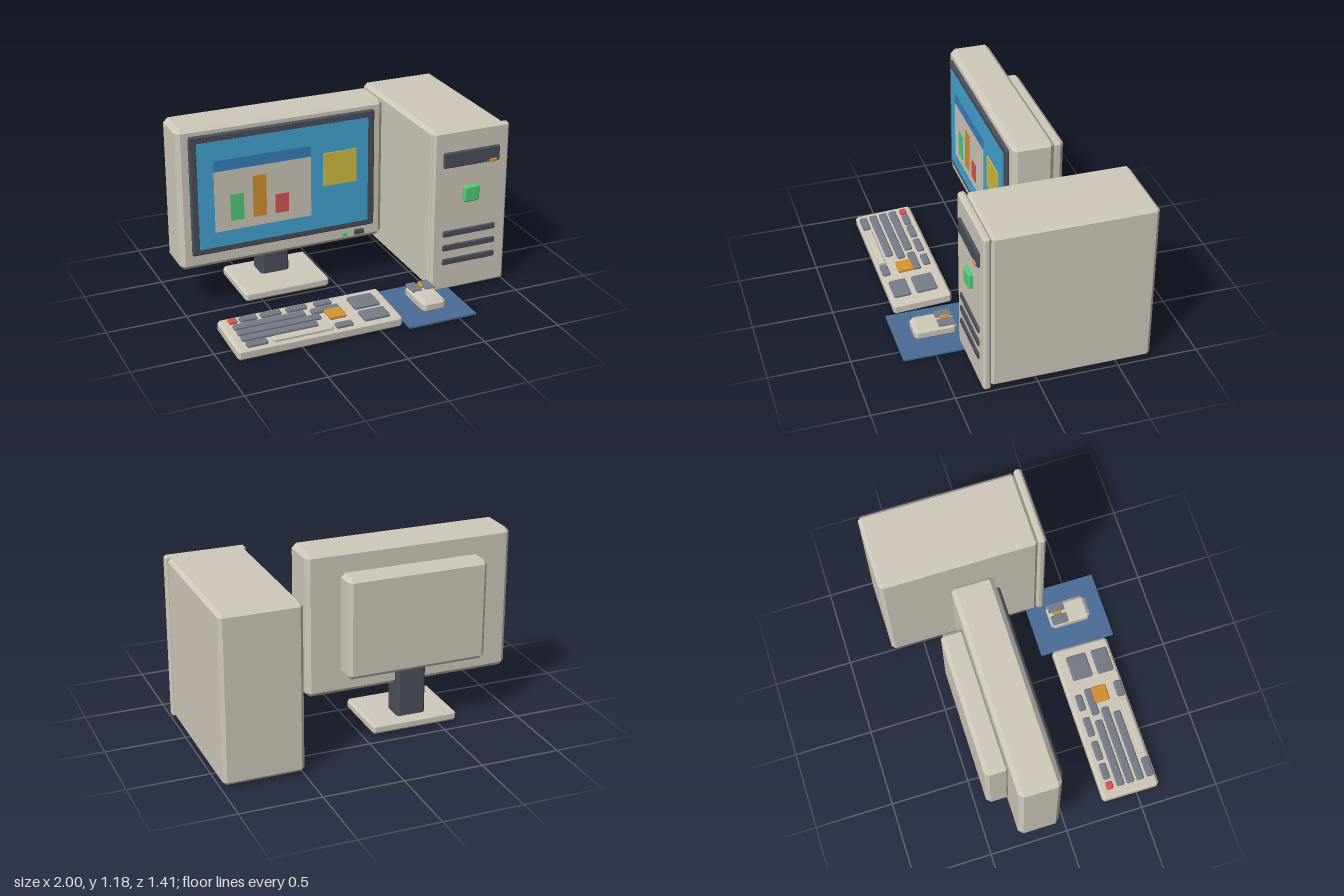
import * as THREE from 'three';
import { ConvexGeometry } from 'three/addons/geometries/ConvexGeometry.js';

const mat = (name, color) => {
  const m = new THREE.MeshStandardMaterial({ color });
  m.name = name;
  return m;
};

// Box with flat chamfered edges, centred on the origin.
function chamferBox(w, h, d, c) {
  const pts = [];
  for (const sx of [-1, 1]) for (const sy of [-1, 1]) for (const sz of [-1, 1]) {
    const x = w / 2, y = h / 2, z = d / 2;
    pts.push(new THREE.Vector3(sx * x, sy * (y - c), sz * (z - c)));
    pts.push(new THREE.Vector3(sx * (x - c), sy * y, sz * (z - c)));
    pts.push(new THREE.Vector3(sx * (x - c), sy * (y - c), sz * z));
  }
  return new ConvexGeometry(pts);
}

// Adds a box spanning the given ranges; chamfer 0 gives a plain box.
function addBox(parent, name, material, [x0, x1], [y0, y1], [z0, z1], chamfer = 0) {
  const w = x1 - x0, h = y1 - y0, d = z1 - z0;
  const geo = chamfer ? chamferBox(w, h, d, chamfer) : new THREE.BoxGeometry(w, h, d);
  const mesh = new THREE.Mesh(geo, material);
  mesh.name = name;
  mesh.position.set((x0 + x1) / 2, (y0 + y1) / 2, (z0 + z1) / 2);
  parent.add(mesh);
  return mesh;
}

function addGroup(parent, name) {
  const g = new THREE.Group();
  g.name = name;
  parent.add(g);
  return g;
}

export function createModel() {
  const model = new THREE.Group();
  model.name = 'desktopComputer';

  const beige = mat('beige plastic', 0xd0c9bb);
  const dark = mat('dark plastic', 0x4a4f5a);
  const grey = mat('grey keys', 0x757b88);
  const sky = mat('screen blue', 0x43a5d5);
  const blue = mat('title blue', 0x3780bd);
  const navy = mat('pad blue', 0x4a6c98);
  const green = mat('green', 0x52cc7a);
  const orange = mat('orange', 0xd4922f);
  const red = mat('red', 0xd65454);
  const yellow = mat('yellow', 0xd2be40);

  // Monitor
  const monitor = addGroup(model, 'monitor');
  addBox(monitor, 'monitorCase', beige, [-1, 0.33], [0.275, 1.185], [-0.315, -0.055], 0.028);
  addBox(monitor, 'monitorBack', beige, [-0.785, 0.115], [0.41, 1.05], [-0.45, -0.3], 0.025);
  addBox(monitor, 'bezel', dark, [-0.93, 0.263], [0.37, 1.135], [-0.06, -0.034], 0.009);
  addBox(monitor, 'screen', sky, [-0.885, 0.217], [0.41, 1.09], [-0.036, -0.03]);
  addBox(monitor, 'powerLight', green, [0.055, 0.086], [0.315, 0.341], [-0.06, -0.043], 0.004);
  addBox(monitor, 'powerButton', dark, [0.135, 0.2], [0.312, 0.347], [-0.06, -0.04], 0.006);
  addBox(monitor, 'stem', dark, [-0.43, -0.243], [0.05, 0.5], [-0.36, -0.21], 0.015);
  addBox(monitor, 'base', beige, [-0.615, -0.055], [0.012, 0.075], [-0.425, 0], 0.015);

  // Desktop picture on the screen
  addBox(monitor, 'windowPanel', beige, [-0.785, -0.165], [0.51, 0.9], [-0.031, -0.026]);
  addBox(monitor, 'windowTitle', blue, [-0.785, -0.165], [0.9, 0.97], [-0.031, -0.025]);
  addBox(monitor, 'note', yellow, [-0.085, 0.137], [0.69, 0.905], [-0.031, -0.024]);
  for (const [x0, x1, top, m] of [
    [-0.687, -0.602, 0.74, green], [-0.543, -0.457, 0.837, orange], [-0.4, -0.313, 0.692, red],
  ]) addBox(monitor, 'chartBar', m, [x0, x1], [0.57, top], [-0.027, -0.021]);

  // Tower
  const tower = addGroup(model, 'tower');
  addBox(tower, 'towerCase', beige, [0.492, 0.988], [0.015, 1.063], [-0.71, 0.285], 0.022);
  addBox(tower, 'towerFront', beige, [0.488, 1], [0.01, 1.069], [0.282, 0.33], 0.013);
  addBox(tower, 'driveBay', dark, [0.55, 0.932], [0.835, 0.935], [0.315, 0.345], 0.007);
  addBox(tower, 'driveLight', orange, [0.86, 0.91], [0.835, 0.856], [0.335, 0.353], 0.004);
  addBox(tower, 'powerSwitch', green, [0.69, 0.795], [0.595, 0.7], [0.315, 0.358], 0.01);
  for (const y of [0.395, 0.3, 0.205]) {
    addBox(tower, 'vent', dark, [0.56, 0.922], [y - 0.02, y + 0.02], [0.315, 0.342], 0.006);
  }

  // Keyboard, tilted up at the back; keys are laid out about its centre
  const keyboard = addGroup(model, 'keyboard');
  const kx = -0.38, kz = 0.458;
  keyboard.position.set(kx, 0.046, kz);
  keyboard.rotation.x = THREE.MathUtils.degToRad(3);
  addBox(keyboard, 'keyboardBody', beige, [-0.522, 0.522], [-0.036, 0.036], [-0.187, 0.187], 0.015);
  const key = (x0, x1, z0, z1, m = grey) =>
    addBox(keyboard, 'key', m, [x0 - kx, x1 - kx], [0.03, 0.056], [z0 - kz, z1 - kz], 0.007);
  key(-0.85, -0.8, 0.313, 0.357, red);
  for (const [x0, x1] of [[-0.782, -0.675], [-0.65, -0.522], [-0.485, -0.355], [-0.305, -0.197]]) {
    key(x0, x1, 0.313, 0.357);
  }
  key(-0.845, -0.395, 0.382, 0.431);
  key(-0.355, -0.173, 0.382, 0.431);
  key(-0.845, -0.322, 0.447, 0.497);
  key(-0.845, -0.37, 0.515, 0.563);
  key(-0.84, -0.712, 0.582, 0.631);
  key(-0.28, -0.173, 0.582, 0.631);
  key(-0.68, -0.3, 0.582, 0.631, beige).name = 'spaceBar';
  const enter = key(-0.28, -0.173, 0.425, 0.527, orange);
  enter.name = 'enterKey';
  enter.position.y += 0.003;
  for (const [z0, z1] of [[0.34, 0.473], [0.51, 0.617]]) key(-0.095, 0.07, z0, z1).name = 'keypad';

  // Mouse and pad
  const mouse = addGroup(model, 'mouse');
  addBox(mouse, 'mousePad', navy, [0.157, 0.607], [0.012, 0.022], [0.208, 0.704]);
  addBox(mouse, 'mouseBody', beige, [0.303, 0.462], [0.022, 0.103], [0.328, 0.594], 0.022);
  for (const x of [0.338, 0.425]) {
    addBox(mouse, 'mouseButton', grey, [x - 0.032, x + 0.032], [0.095, 0.113], [0.335, 0.443], 0.005);
  }
  addBox(mouse, 'mouseWheel', orange, [0.373, 0.394], [0.095, 0.123], [0.36, 0.417], 0.006);

  return model;
}
